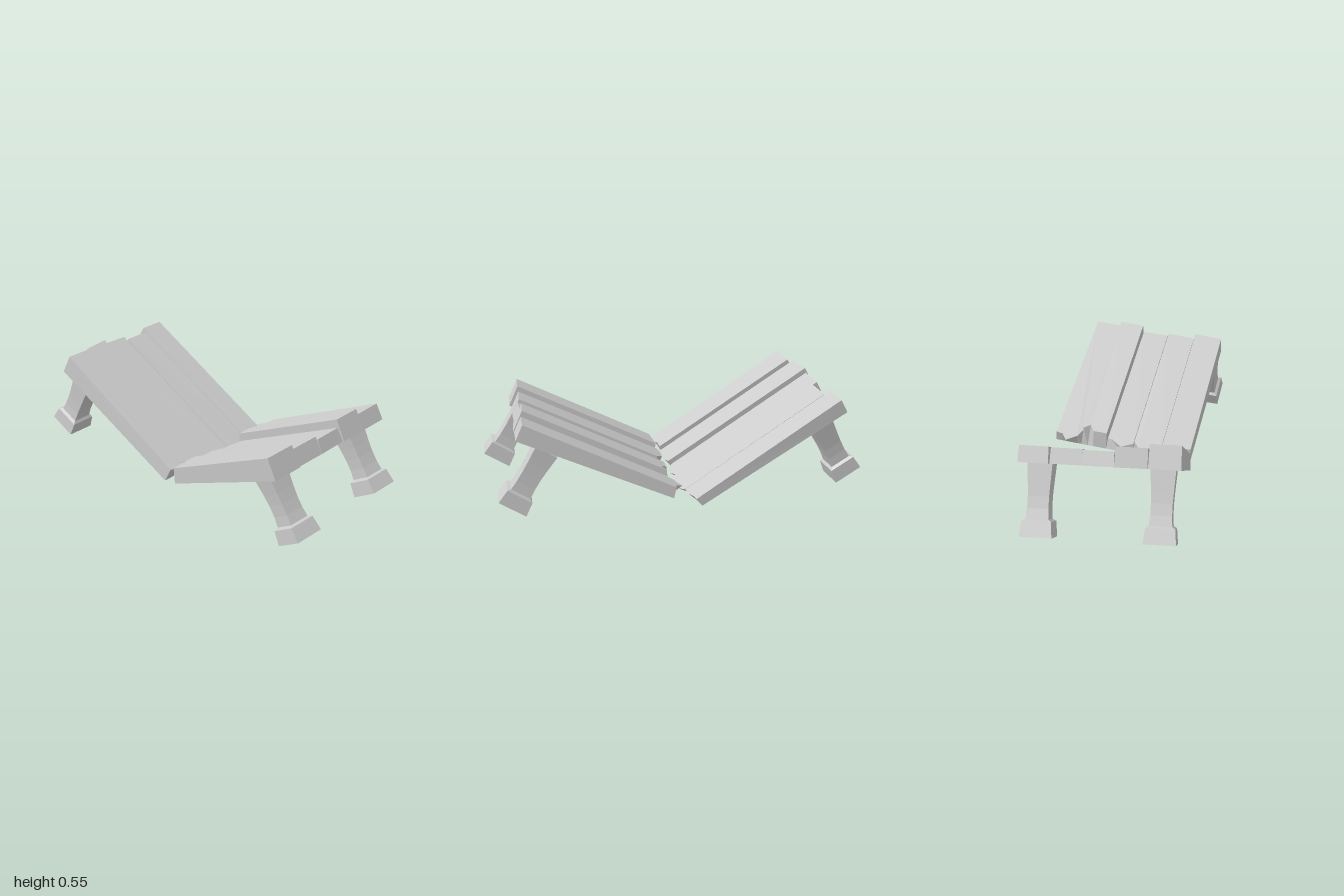
import * as THREE from 'three';

const grey = new THREE.MeshStandardMaterial({ color: 0xcccccc, flatShading: true });
const V = (x, y, z) => new THREE.Vector3(x, y, z);

// Frame of a table half or leg: x across the planks, y along them, z up out of the top
function frame(origin, across, along) {
  const x = across.clone().normalize();
  const y = along.clone().normalize();
  const z = x.clone().cross(y).normalize();
  return new THREE.Matrix4().makeBasis(x, y, z).setPosition(origin);
}

// Plank: straight outer end, jagged broken end on top, thinner towards the break
function plank({ w, thick, end, broken }, m, bottomBreak) {
  const shape = new THREE.Shape();
  shape.moveTo(w[0], end[0]);
  shape.lineTo(w[1], end[1]);
  [...broken].reverse().forEach(([x, y]) => shape.lineTo(x, y));
  shape.closePath();
  const geo = new THREE.ExtrudeGeometry(shape, { depth: thick, bevelEnabled: false });
  const p = geo.attributes.position;
  const v = new THREE.Vector3();
  const mid = (w[0] + w[1]) / 2;
  const half = (w[1] - w[0]) / 2;
  for (let i = 0; i < p.count; i++) {
    v.fromBufferAttribute(p, i);
    const atBreak = v.y < 0.3;
    if (v.z > thick / 2) {
      v.x -= 0.003 * (v.x - mid) / half; // narrow groove between planks
      if (atBreak) {
        v.y -= 0.015;
        v.z -= 0.03;
      }
    } else if (atBreak) v.y = bottomBreak;
    v.applyMatrix4(m);
    p.setXYZ(i, v.x, v.y, v.z);
  }
  geo.computeVertexNormals();
  const mesh = new THREE.Mesh(geo, grey);
  mesh.name = 'plank';
  return mesh;
}

// Square leg with a slightly waisted shaft and a block foot, standing on its frame's origin
function leg(m, height) {
  const profile = [
    [0, 0], [0.081, 0], [0.073, 0.078], [0.057, 0.088], [0.053, 0.14],
    [0.053, 0.2], [0.056, 0.26], [0.063, height], [0, height],
  ].map(([r, h]) => new THREE.Vector2(r * Math.SQRT2, h));
  const geo = new THREE.LatheGeometry(profile, 4, Math.PI / 4);
  geo.rotateX(Math.PI / 2).applyMatrix4(m);
  const mesh = new THREE.Mesh(geo, grey);
  mesh.name = 'leg';
  return mesh;
}

function tableHalf(name, m, planks, bottomBreak, legFrames, legHeight) {
  const g = new THREE.Group();
  g.name = name;
  planks.forEach((d) => g.add(plank(d, m, bottomBreak)));
  legFrames.forEach((f) => g.add(leg(f, legHeight)));
  return g;
}

export function createModel() {
  const model = new THREE.Group();
  model.name = 'brokenTable';

  // Back half, square to the axes
  const backX = V(1, 0, 0);
  const backY = V(0, 0.469, -0.883);
  const backLegs = [-0.24, 0.366].map((x) => frame(V(x, 0.05, -0.927), backX, backY));
  model.add(tableHalf('backHalf', frame(V(-0.33, -0.0256, -0.0136), backX, backY), [
    { w: [0, 0.16], thick: 0.121, end: [0.966, 0.966],
      broken: [[0, 0.072], [0.07, 0.065], [0.11, 0.075], [0.16, 0.07]] },
    { w: [0.16, 0.32], thick: 0.1, end: [0.985, 0.999],
      broken: [[0.16, 0.065], [0.23, 0.055], [0.28, 0.05], [0.32, 0.06]] },
    { w: [0.32, 0.48], thick: 0.075, end: [0.99, 0.985],
      broken: [[0.32, 0.065], [0.36, 0.05], [0.4, 0.03], [0.44, 0.05], [0.48, 0.015]] },
    { w: [0.48, 0.64], thick: 0.08, end: [0.956, 0.956],
      broken: [[0.48, 0.015], [0.54, 0.008], [0.6, 0.02], [0.64, 0.045]] },
    { w: [0.64, 0.79], thick: 0.083, end: [0.988, 0.988],
      broken: [[0.64, 0.045], [0.7, 0.045], [0.75, 0.06], [0.79, 0.06]] },
  ], 0.055, backLegs, 0.37));

  // Front half, turned and rolled a little; measured from its left (+x) side
  const front = frame(V(0.465, 0.07, 0.095), V(-0.78, -0.07, -0.095), V(-0.135, 0.38, 0.8));
  const frontLegs = [V(0.258, 0.066, 0.922), V(-0.377, 0.064, 0.903)]
    .map((foot) => frame(foot, V(-0.158, -0.012, -0.02), V(-0.027, 0.092, 0.14)));
  model.add(tableHalf('frontHalf', front, [
    { w: [0, 0.152], thick: 0.09, end: [0.895, 0.895],
      broken: [[0, 0.03], [0.04, 0.023], [0.07, -0.017], [0.13, 0.025], [0.152, 0.07]] },
    { w: [0.152, 0.3], thick: 0.12, end: [0.9, 0.895],
      broken: [[0.152, 0.07], [0.19, 0.1], [0.22, 0.06], [0.3, 0.06]] },
    { w: [0.3, 0.458], thick: 0.077, end: [0.885, 0.89],
      broken: [[0.3, 0.06], [0.32, 0.06], [0.39, 0.017], [0.458, 0.055]] },
    { w: [0.458, 0.624], thick: 0.095, end: [0.89, 0.885],
      broken: [[0.458, 0.06], [0.49, 0.02], [0.55, 0.015], [0.624, 0.025]] },
    { w: [0.624, 0.793], thick: 0.12, end: [0.9, 0.896],
      broken: [[0.624, 0.045], [0.7, 0.05], [0.793, 0.058]] },
  ], 0.004, frontLegs, 0.35));

  return model;
}
